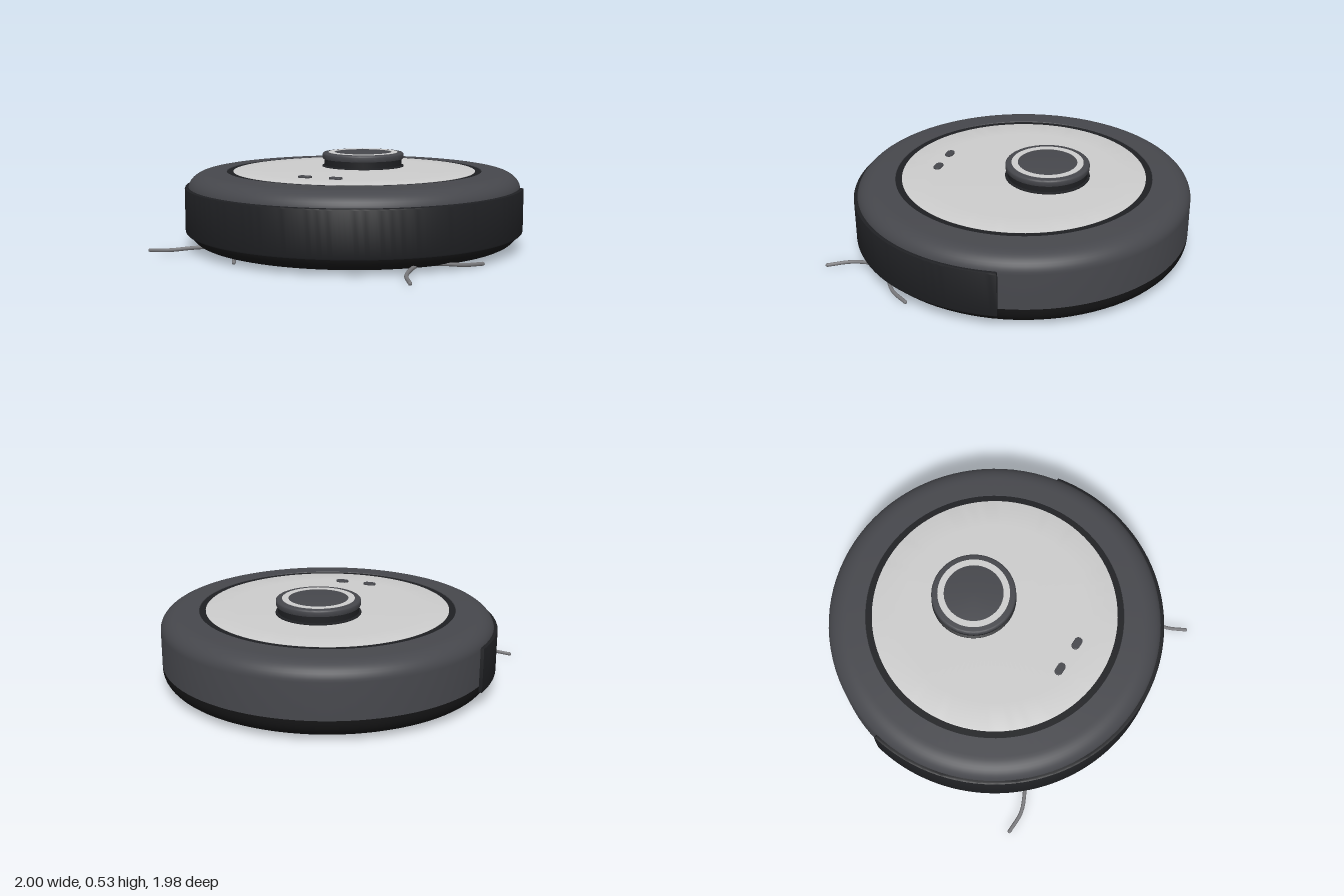
import * as THREE from 'three';
import { toCreasedNormals } from 'three/addons/utils/BufferGeometryUtils.js';

const mat = (color) => new THREE.MeshStandardMaterial({ color });
const shellMat = mat(0x46474c);
const bumperMat = mat(0x1f2023);
const baseMat = mat(0x141415);
const lidMat = mat(0xcccccc);
const bristleMat = mat(0x77777a);

function add(parent, name, geometry, material, x = 0, y = 0, z = 0) {
  const mesh = new THREE.Mesh(geometry, material);
  mesh.name = name;
  mesh.position.set(x, y, z);
  parent.add(mesh);
  return mesh;
}

// Lathe from [radius, height] pairs listed from bottom to top
function lathe(points, segments = 96) {
  const profile = points.map(([r, y]) => new THREE.Vector2(r, y));
  return toCreasedNormals(new THREE.LatheGeometry(profile, segments), 0.6);
}

// Quarter-ellipse corner as [radius, height] pairs
function corner(cr, cy, a, b, from, to, steps = 8) {
  return Array.from({ length: steps + 1 }, (_, i) => {
    const t = from + ((to - from) * i) / steps;
    return [cr + a * Math.cos(t), cy + b * Math.sin(t)];
  });
}

// Side brush: three curved bristles around a hub
function sideBrush(name, x, angle, curl) {
  const brush = new THREE.Group();
  brush.name = name;
  brush.position.set(x, 0, 0.61);
  // radius, angle behind the tip in degrees, height
  const path = [[0.0, 0, 0.038], [0.13, 13, 0.032], [0.24, 9, 0.021], [0.36, 0, 0.012]];
  for (let i = 0; i < 3; i++) {
    const points = path.map(([r, lag, y]) => {
      const a = THREE.MathUtils.degToRad(angle + i * 120 - curl * lag);
      return new THREE.Vector3(r * Math.cos(a), y, r * Math.sin(a));
    });
    const curve = new THREE.CatmullRomCurve3(points);
    add(brush, 'bristle', new THREE.TubeGeometry(curve, 16, 0.011, 8), bristleMat);
    // rounded tip
    add(brush, 'bristleTip', new THREE.SphereGeometry(0.011, 8, 6), bristleMat, ...points[3].toArray());
  }
  return brush;
}

export function createModel() {
  const model = new THREE.Group();
  model.name = 'robotVacuum';
  const body = new THREE.Group();
  body.name = 'body';
  body.position.z = -0.01;
  model.add(body);

  // Underside and upper shell
  add(body, 'base', lathe([[0, 0.02], ...corner(0.88, 0.115, 0.1, 0.095, -Math.PI / 2, 0), [0.98, 0.13]]), baseMat);
  add(body, 'shell', lathe([
    [0.98, 0.13], [0.98, 0.34],
    ...corner(0.86, 0.34, 0.12, 0.095, 0, Math.PI / 2, 10),
    [0.755, 0.44], [0.75, 0.43],
  ]), shellMat);

  // Dark groove and slightly domed lid
  add(body, 'lidGroove', lathe([[0.76, 0.436], [0.7, 0.436]]), bumperMat);
  add(body, 'lid', lathe([
    [0.716, 0.43], [0.716, 0.438], [0.71, 0.44], [0.55, 0.443], [0.3, 0.446], [0, 0.447],
  ]), lidMat);

  // Front bumper wrapping a little past half of the body
  const end = THREE.MathUtils.degToRad(9.5);
  const arc = new THREE.Shape();
  arc.absarc(0, 0, 0.99, -end, Math.PI + end, false);
  arc.absarc(0, 0, 0.96, Math.PI + end, -end, true);
  arc.closePath();
  const bumper = new THREE.ExtrudeGeometry(arc, {
    depth: 0.245, curveSegments: 64, bevelThickness: 0.01, bevelSize: 0.01, bevelSegments: 2,
  });
  bumper.rotateX(Math.PI / 2);
  add(body, 'bumper', toCreasedNormals(bumper, 0.5), bumperMat, 0, 0.345, 0);

  // Sensor turret
  const turret = new THREE.Group();
  turret.name = 'turret';
  turret.position.set(0, 0.44, -0.145);
  body.add(turret);
  add(turret, 'turretNeck', lathe([[0.248, 0], [0.248, 0.01], [0.235, 0.014], [0.235, 0.055]], 64), bumperMat);
  add(turret, 'turretCap', lathe([
    [0.23, 0.05], [0.243, 0.052], [0.246, 0.058], [0.246, 0.078],
    ...corner(0.234, 0.078, 0.012, 0.012, 0, Math.PI / 2, 4), [0, 0.09],
  ], 64), shellMat);
  add(turret, 'turretRing', lathe([
    [0.21, 0.088], [0.21, 0.092], [0.173, 0.092], [0.173, 0.088],
  ], 64), lidMat);

  // Two oval buttons on the lid
  const pill = new THREE.Shape();
  pill.absarc(0.016, 0, 0.02, -Math.PI / 2, Math.PI / 2, false);
  pill.absarc(-0.016, 0, 0.02, Math.PI / 2, Math.PI * 1.5, false);
  pill.closePath();
  const button = new THREE.ExtrudeGeometry(pill, {
    depth: 0.014, curveSegments: 12, bevelThickness: 0.003, bevelSize: 0.003, bevelSegments: 2,
  });
  button.rotateX(-Math.PI / 2);
  for (const side of [-1, 1]) {
    add(body, side > 0 ? 'leftButton' : 'rightButton', button, shellMat, side * 0.092, 0.437, 0.505);
  }

  // Side brushes under the front edge
  model.add(sideBrush('rightBrush', -0.62, 162, 1));
  model.add(sideBrush('leftBrush', 0.62, 80, -1));
  return model;
}
